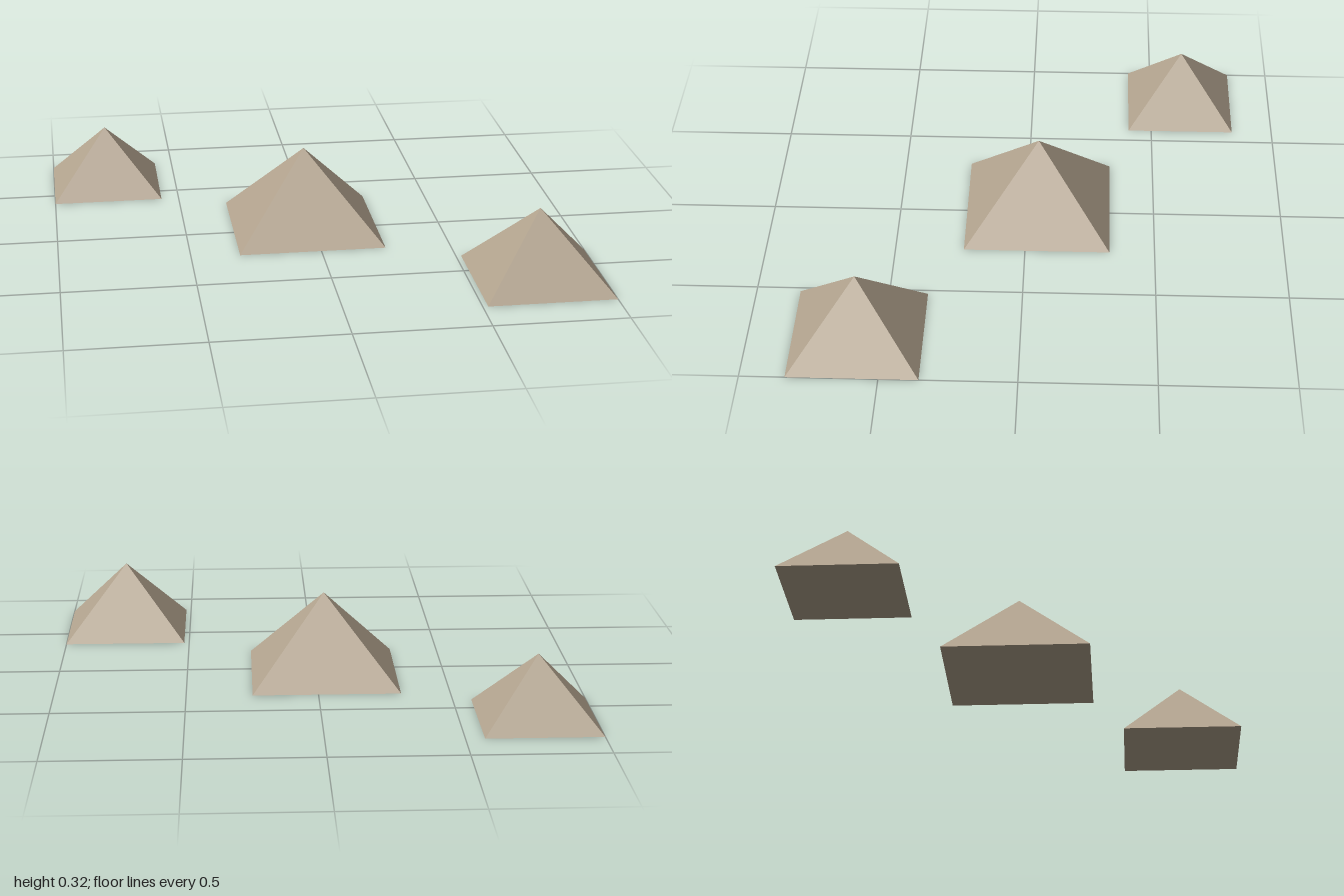
import * as THREE from 'three';

const sandstone = new THREE.MeshStandardMaterial({ color: 0xb3a48f });
sandstone.name = 'sandstone';

// Square pyramid standing on the ground, sides parallel to x and z
function pyramid(name, x, z, width, height) {
  const cone = new THREE.ConeGeometry(width / Math.SQRT2, height, 4, 1, false, Math.PI / 4);
  const geometry = cone.toNonIndexed();
  geometry.computeVertexNormals(); // flat faces
  geometry.translate(0, height / 2, 0);
  const mesh = new THREE.Mesh(geometry, sandstone);
  mesh.name = name;
  mesh.position.set(x, 0, z);
  return mesh;
}

export function createModel() {
  const group = new THREE.Group();
  group.name = 'pyramids';
  group.add(
    pyramid('smallPyramid', -0.785, -0.621, 0.43, 0.246),
    pyramid('largePyramid', -0.032, -0.045, 0.562, 0.322),
    pyramid('mediumPyramid', 0.76, 0.595, 0.48, 0.275)
  );
  return group;
}
